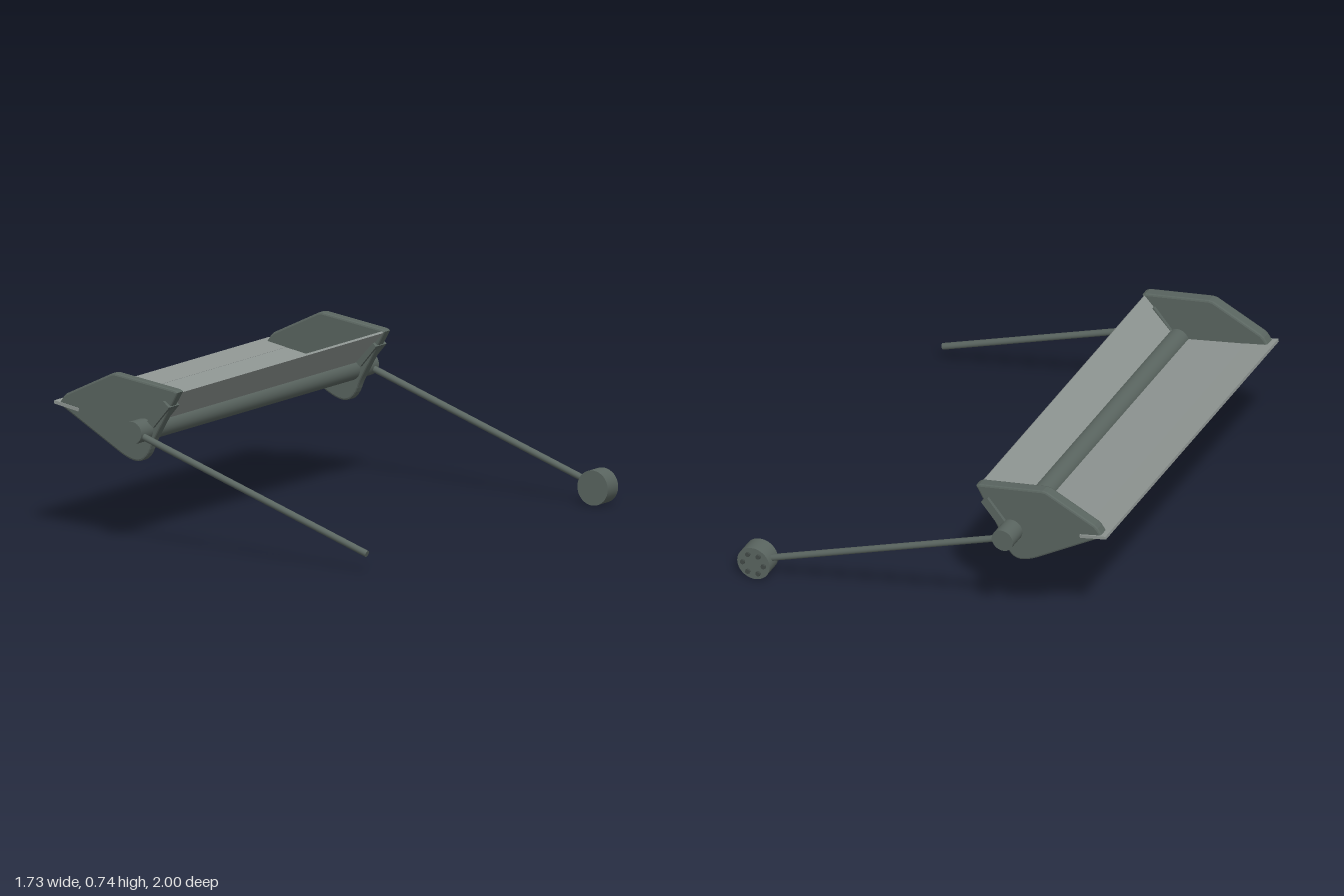
import * as THREE from 'three';

const frame = new THREE.MeshStandardMaterial({ name: 'dark steel', color: 0x5a6560 });
const sheet = new THREE.MeshStandardMaterial({ name: 'light sheet', color: 0x8f9693 });
const dark = new THREE.MeshStandardMaterial({ name: 'bolt steel', color: 0x424a47 });

const PIVOT = [-0.41, 0.505];

export function createModel() {
  const model = new THREE.Group();
  const add = (name, geometry, material) => {
    const mesh = new THREE.Mesh(geometry, material);
    mesh.name = name;
    model.add(mesh);
    return mesh;
  };

  // cylinder along z between two depths
  const rodZ = (name, x, y, z0, z1, r, material = frame, sides = 32) => {
    const g = new THREE.CylinderGeometry(r, r, z1 - z0, sides).rotateX(Math.PI / 2);
    add(name, g, material).position.set(x, y, (z0 + z1) / 2);
  };

  // slab whose section runs from a to b in the xy plane
  const slab = (name, a, b, thickness, z0, z1, material) => {
    const dx = b[0] - a[0], dy = b[1] - a[1];
    const g = new THREE.BoxGeometry(Math.hypot(dx, dy), thickness, z1 - z0);
    const mesh = add(name, g, material);
    mesh.position.set((a[0] + b[0]) / 2, (a[1] + b[1]) / 2, (z0 + z1) / 2);
    mesh.rotation.z = Math.atan2(dy, dx);
  };

  // cross shaft
  rodZ('shaft', ...PIVOT, -0.978, 1.0, 0.051);

  // bucket floor, back wall and cutting lip
  slab('floor', [-0.84, 0.582], PIVOT, 0.008, -0.85, 0.87, sheet);
  slab('backWall', PIVOT, [-0.245, 0.683], 0.01, -0.85, 0.87, sheet);
  slab('cuttingLip', [-0.865, 0.586], [-0.74, 0.562], 0.014, -0.886, 0.905, sheet);

  // side plates with bevelled rims
  const outline = new THREE.Shape();
  outline.moveTo(-0.845, 0.578);
  outline.lineTo(-0.53, 0.39);
  outline.bezierCurveTo(-0.45, 0.345, -0.405, 0.35, -0.378, 0.42);
  outline.quadraticCurveTo(-0.37, 0.445, -0.35, 0.48);
  outline.lineTo(-0.235, 0.685);
  outline.lineTo(-0.25, 0.694);
  outline.lineTo(-0.555, 0.74);
  outline.lineTo(-0.575, 0.738);
  outline.lineTo(-0.805, 0.628);
  outline.lineTo(-0.82, 0.615);
  outline.closePath();
  const bevel = 0.009;
  const plate = new THREE.ExtrudeGeometry(outline, {
    depth: 0.056 - 2 * bevel, bevelEnabled: true, bevelSize: bevel,
    bevelThickness: bevel, bevelOffset: -bevel, bevelSegments: 2, curveSegments: 10,
  }).translate(0, 0, bevel);

  for (const [name, z] of [['front', 0.845], ['rear', -0.878]]) {
    add(name + 'SidePlate', plate, frame).position.z = z;
    // clamp block through the plate beside the shaft
    slab(name + 'Clamp', [-0.365, 0.535], [-0.283, 0.632], 0.04, z - 0.015, z + 0.073, frame);
  }

  // arms reaching down from the shaft ends
  const dx = 0.78 - PIVOT[0], dy = 0.08 - PIVOT[1];
  const arm = new THREE.CylinderGeometry(0.015, 0.015, Math.hypot(dx, dy), 20)
    .rotateZ(Math.atan2(dy, dx) - Math.PI / 2);
  for (const [name, z] of [['frontArm', 0.971], ['rearArm', -0.948]]) {
    add(name, arm, frame).position.set(PIVOT[0] + dx / 2, PIVOT[1] + dy / 2, z);
  }

  // hub drum with a ring of bolts on its back
  rodZ('hub', 0.782, 0.078, -0.99, -0.903, 0.078, frame, 40);
  for (let i = 0; i < 6; i++) {
    const t = (i * Math.PI) / 3;
    rodZ('hubBolt', 0.782 + 0.05 * Math.cos(t), 0.078 + 0.05 * Math.sin(t), -1.0, -0.985, 0.011, dark, 12);
  }
  return model;
}
